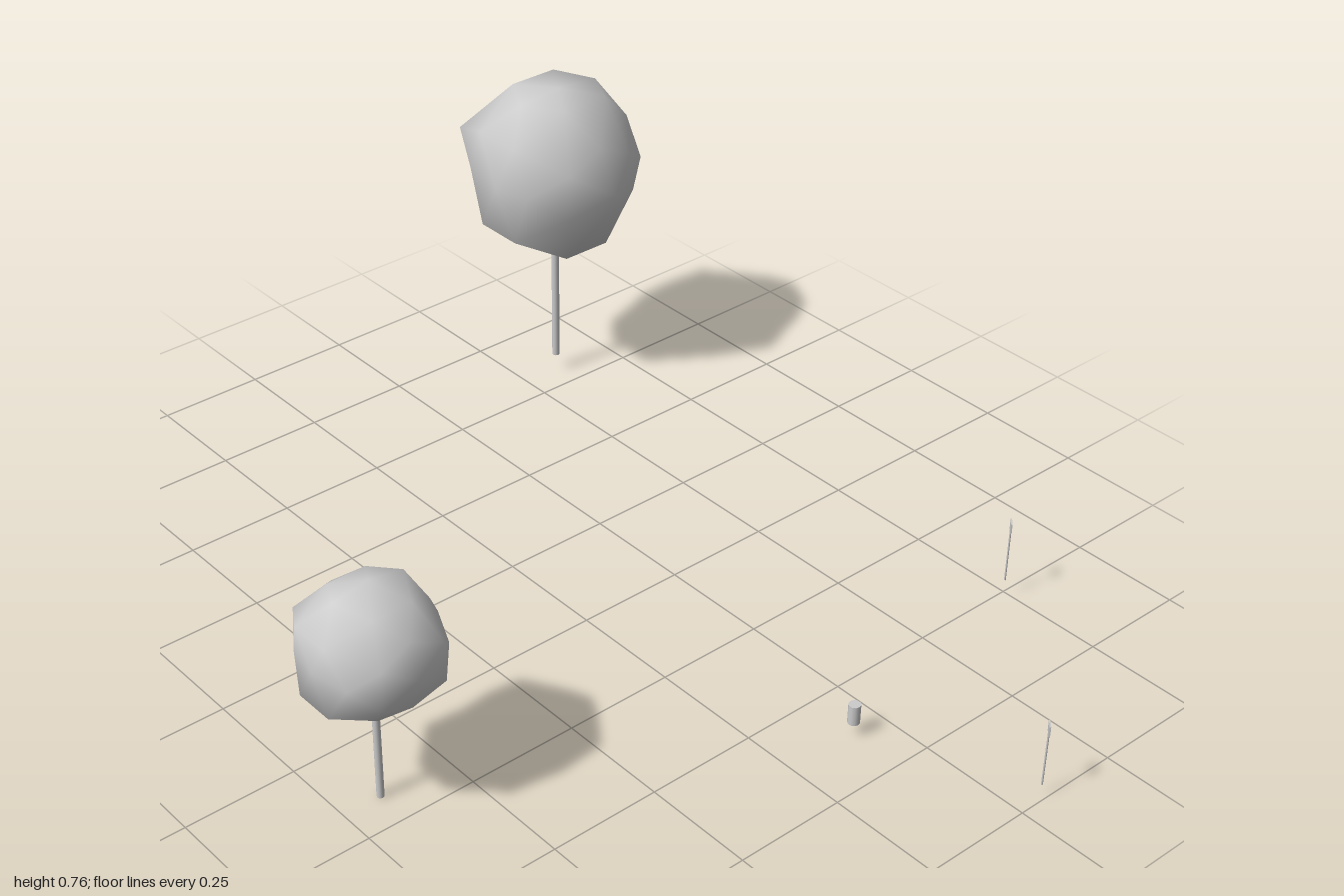
import * as THREE from 'three';
import { mergeVertices } from 'three/addons/utils/BufferGeometryUtils.js';

const grey = new THREE.MeshStandardMaterial({ color: 0xcccccc, side: THREE.DoubleSide });

function add(parent, name, geometry, x, y, z) {
  const mesh = new THREE.Mesh(geometry, grey);
  mesh.name = name;
  mesh.position.set(x, y, z);
  parent.add(mesh);
  return mesh;
}

// Lumpy crown: an icosphere whose vertices nearest to each knob are pulled onto it.
// A knob is [x, y, z, axes], mirrored along every axis named.
function crownGeometry(radius, knobs) {
  const ico = new THREE.IcosahedronGeometry(1, 1);
  ico.deleteAttribute('normal');
  ico.deleteAttribute('uv');
  const geo = mergeVertices(ico, 1e-3);
  const pos = geo.attributes.position;
  const dirs = [];
  for (let i = 0; i < pos.count; i++) {
    dirs.push(new THREE.Vector3().fromBufferAttribute(pos, i));
    pos.setXYZ(i, ...dirs[i].clone().multiplyScalar(radius).toArray());
  }
  for (const [x, y, z, axes = ''] of knobs) {
    for (const sx of axes.includes('x') ? [1, -1] : [1])
      for (const sy of axes.includes('y') ? [1, -1] : [1])
        for (const sz of axes.includes('z') ? [1, -1] : [1]) {
          const p = new THREE.Vector3(x * sx, y * sy, z * sz);
          const d = p.clone().normalize();
          let best = 0;
          dirs.forEach((v, i) => { if (v.dot(d) > dirs[best].dot(d)) best = i; });
          pos.setXYZ(best, p.x, p.y, p.z);
        }
  }
  geo.computeVertexNormals();
  return geo;
}

function tree(name, x, z, base, top, trunkRadius, crownAt, radius, knobs) {
  const g = new THREE.Group();
  g.name = name;
  add(g, 'trunk', new THREE.CylinderGeometry(trunkRadius, trunkRadius, top - base, 8), x, (base + top) / 2, z);
  add(g, 'crown', crownGeometry(radius, knobs), ...crownAt);
  return g;
}

// Thin pole with a small plate turned half way between front and side
function signPost(x, z, base) {
  const g = new THREE.Group();
  g.name = 'signPost';
  g.position.set(x, base, z);
  g.rotation.y = Math.PI / 4;
  add(g, 'pole', new THREE.CylinderGeometry(0.002, 0.002, 0.13, 6), 0, 0.065, 0);
  add(g, 'signPlate', new THREE.BoxGeometry(0.022, 0.024, 0.003), 0, 0.14, 0);
  return g;
}

export function createModel() {
  const model = new THREE.Group();
  model.name = 'parkScene';

  model.add(tree('largeTree', 0.59, -0.815, 0.045, 0.36, 0.009, [0.59, 0.565, -0.8], 0.198, [
    // top and underside
    [0, 0.195, 0], [0, -0.19, 0], [0.11, 0.185, 0, 'x'], [0.11, -0.174, 0, 'x'],
    [0.06, 0.19, 0.093, 'x'], [0.06, 0.19, -0.09, 'x'],
    [0.06, -0.19, -0.13, 'x'], [0.06, -0.185, 0.1, 'x'],
    // front and back
    [0, 0, 0.203], [0, 0.1, 0.15], [0, -0.095, 0.145], [0.09, 0.055, 0.147, 'xy'],
    [0, 0.12, -0.19], [0, 0.01, -0.2], [0, -0.1, -0.157],
    [0.08, 0.055, -0.195], [-0.135, 0.065, -0.196],
    // sides
    [0.2, 0.037, 0], [0.18, 0, -0.126], [0.172, 0, 0.092], [0.155, 0.1, 0.06, 'z'], [0.178, -0.1, 0.06, 'z'],
    [-0.187, 0, 0], [-0.167, 0, 0.088], [-0.18, 0.118, 0.06, 'yz'], [-0.165, 0, -0.12],
  ]));

  model.add(tree('smallTree', -0.662, 0.167, 0, 0.24, 0.008, [-0.66, 0.372, 0.165], 0.144, [
    [0, 0.147, 0], [0, -0.142, 0], [0.08, 0.133, 0, 'x'], [0.08, -0.129, 0, 'x'],
    [0.154, 0, 0], [0.105, 0.08, 0.045, 'yz'], [0.112, 0, 0.09],
    [-0.136, 0, 0], [-0.136, 0.08, 0.045, 'yz'], [-0.12, 0, 0.088],
    [0, 0, -0.13], [0.08, 0.045, -0.135, 'xy'], [0.073, 0.045, 0.131, 'xy'],
  ]));

  model.add(signPost(0.313, 0.99, 0.03));
  model.add(signPost(0.736, 0.512, 0.045));

  // Litter bin
  add(model, 'bin', new THREE.CylinderGeometry(0.013, 0.013, 0.046, 10), 0.166, 0.055, 0.626);

  return model;
}
